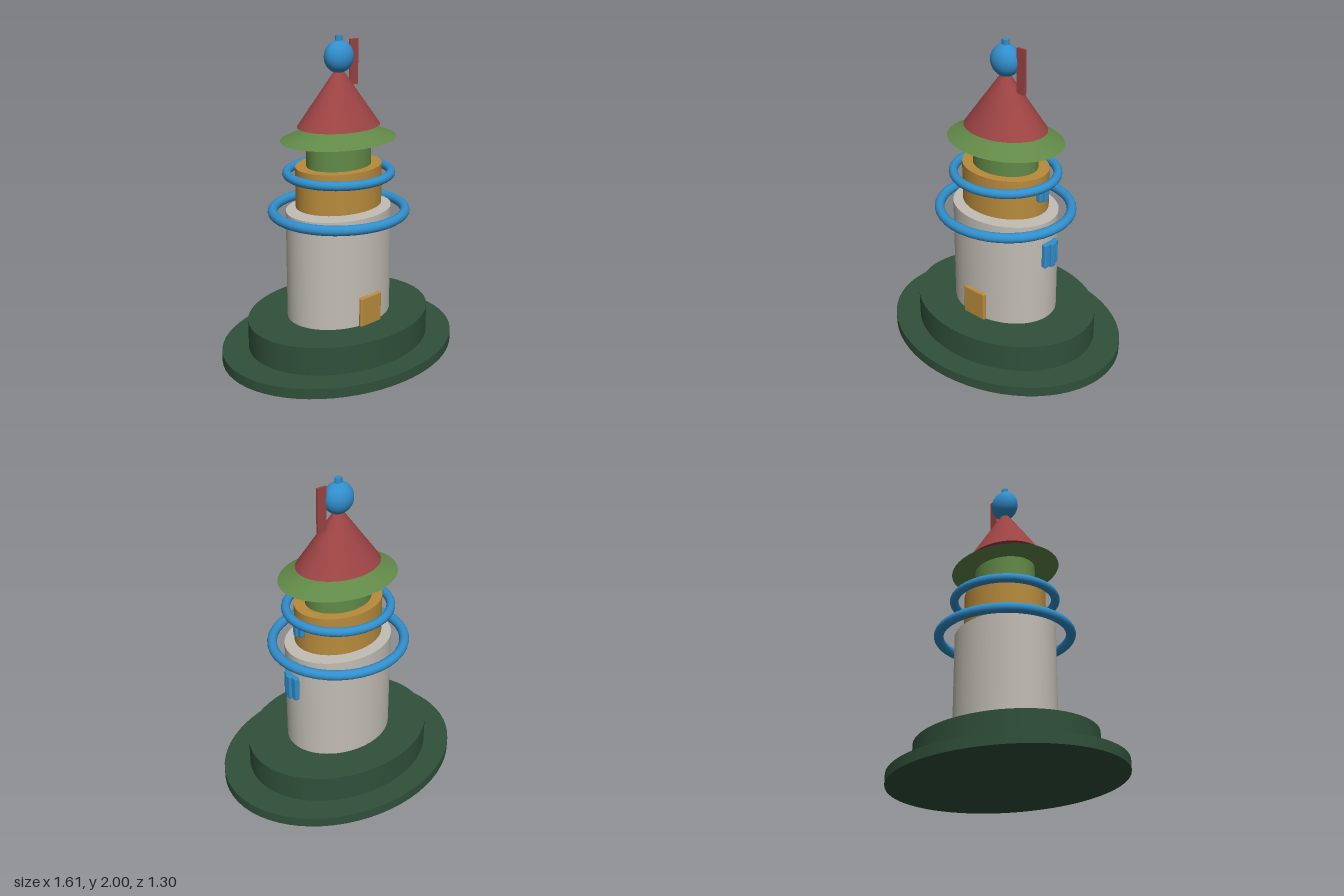
import * as THREE from 'three';
import { RoundedBoxGeometry } from 'three/addons/geometries/RoundedBoxGeometry.js';

const mat = (name, color) => {
  const m = new THREE.MeshStandardMaterial({ color });
  m.name = name;
  return m;
};

export function createModel() {
  const darkGreen = mat('dark green', 0x30503a);
  const stone = mat('stone', 0xc2bdb4);
  const gold = mat('gold', 0xb88b3c);
  const leaf = mat('leaf green', 0x628a48);
  const red = mat('red', 0x9c4343);
  const blue = mat('blue', 0x318fcc);

  const model = new THREE.Group();
  model.name = 'tower';

  const add = (name, geometry, material, x = 0, y = 0, z = 0) => {
    const mesh = new THREE.Mesh(geometry, material);
    mesh.name = name;
    mesh.position.set(x, y, z);
    model.add(mesh);
    return mesh;
  };

  // Elliptical drum or cone from y0 to y1; rx and rz are the radii at the bottom
  const drum = (name, material, rx, rz, y0, y1, top = 1) =>
    add(name, new THREE.CylinderGeometry(top, 1, y1 - y0, 64).scale(rx, 1, rz),
      material, 0, (y0 + y1) / 2);

  // Stepped base and stacked storeys
  drum('baseSlab', darkGreen, 0.807, 0.65, 0, 0.065);
  drum('baseStep', darkGreen, 0.628, 0.506, 0.065, 0.245);
  drum('lowerTower', stone, 0.358, 0.289, 0.245, 0.94);
  drum('middleTower', gold, 0.291, 0.235, 0.962, 1.215);
  drum('upperTower', leaf, 0.218, 0.176, 1.215, 1.385);

  // Roofs
  drum('brimRoof', leaf, 0.388, 0.313, 1.38, 1.52, 0);
  drum('spireRoof', red, 0.276, 0.223, 1.46, 1.83, 0);

  // Ball and pin
  add('ball', new THREE.SphereGeometry(0.098, 32, 24).scale(1, 1, 0.81), blue, 0, 1.875);
  drum('pin', blue, 0.024, 0.02, 1.95, 2);

  // Flag
  add('flag', new THREE.BoxGeometry(0.064, 0.276, 0.014), red, 0.122, 1.832);

  // Loose balcony rings
  const ring = (name, rx, rz, tube, y) => {
    const g = new THREE.TorusGeometry(rx - tube, tube, 16, 40);
    g.rotateX(Math.PI / 2).scale(1, 1, rz / rx);
    add(name, g, blue, 0, y);
  };
  ring('lowerRing', 0.452, 0.433, 0.031, 0.922);
  ring('upperRing', 0.356, 0.341, 0.028, 1.165);

  // Door with softened corners
  add('door', new RoundedBoxGeometry(0.176, 0.2, 0.028, 3, 0.013), gold, -0.002, 0.336, 0.288);

  // Side windows: a rounded pane with a raised centre bar
  const sideWindow = (name, x, y, width, height, depth) => {
    add(name + 'Pane', new RoundedBoxGeometry(depth, height, width, 3, depth * 0.3), blue, x, y);
    add(name + 'Bar', new RoundedBoxGeometry(depth, height, width * 0.36, 3, depth * 0.2),
      blue, x + depth * 0.45, y);
  };
  sideWindow('lowerWindow', 0.363, 0.717, 0.124, 0.165, 0.036);
  sideWindow('upperWindow', 0.3, 1.1, 0.09, 0.076, 0.034);

  return model;
}
